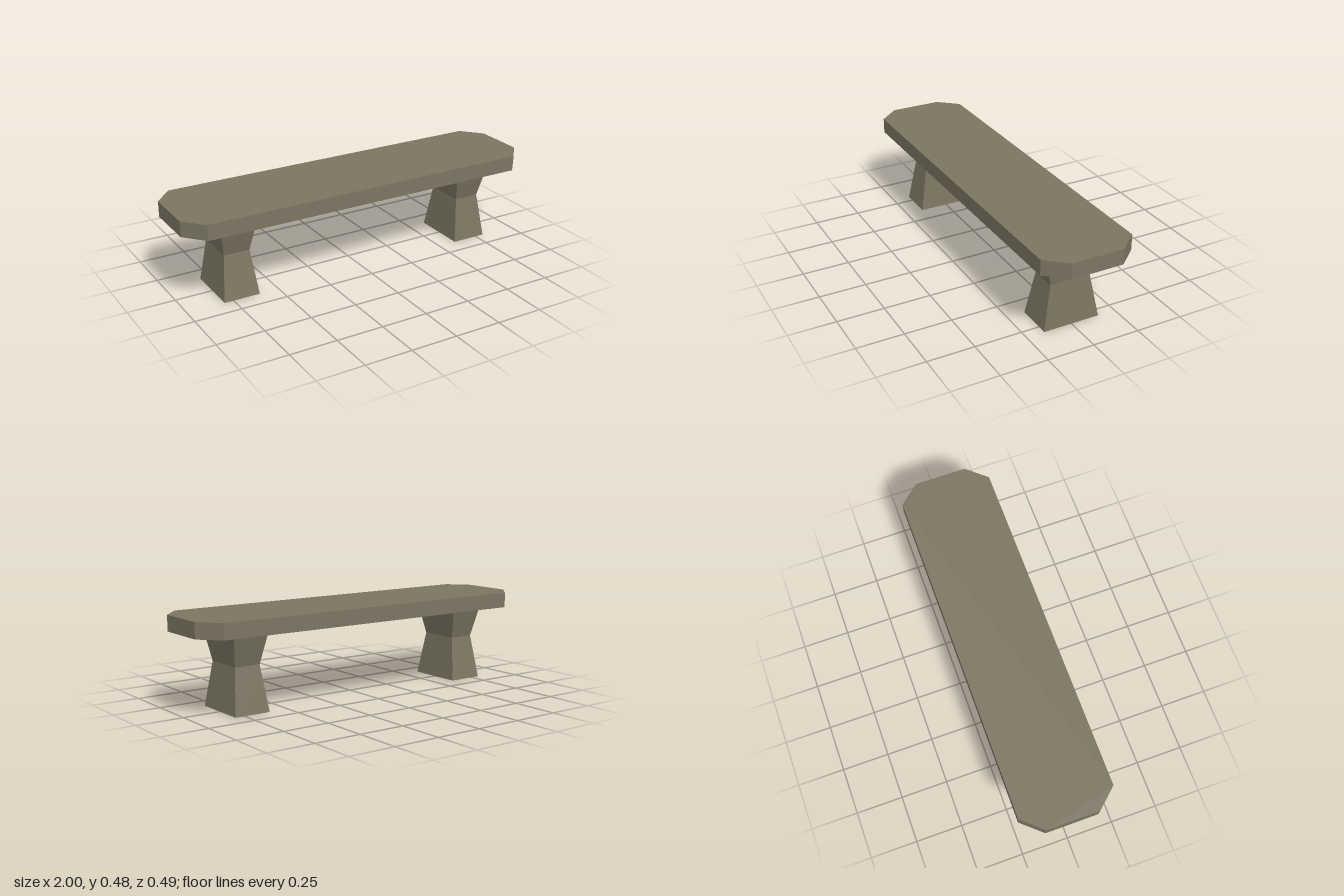
import * as THREE from 'three';

const SEAT_BOTTOM = 0.402, SEAT_TOP = 0.484;

// Slab with clipped corners
function seatGeometry() {
  const x = 1, z = 0.247, cx = 0.905, cz = 0.139;
  const outline = [[x, -cz], [x, cz], [cx, z], [-cx, z], [-x, cz], [-x, -cz], [-cx, -z], [cx, -z]];
  const shape = new THREE.Shape(outline.map(([a, b]) => new THREE.Vector2(a, b)));
  const geo = new THREE.ExtrudeGeometry(shape, { depth: SEAT_TOP - SEAT_BOTTOM, bevelEnabled: false });
  return geo.rotateX(-Math.PI / 2).translate(0, SEAT_BOTTOM, 0);
}

// Block pinched to a waist a little above mid-height
function legGeometry() {
  const geo = new THREE.BoxGeometry(0.194, SEAT_BOTTOM, 0.306, 1, 2, 1);
  const pos = geo.attributes.position;
  for (let i = 0; i < pos.count; i++) {
    if (Math.abs(pos.getY(i)) < 0.01) {
      pos.setXYZ(i, pos.getX(i) * 0.72, 0.236 - SEAT_BOTTOM / 2, pos.getZ(i) * 0.715);
    }
  }
  geo.translate(0, SEAT_BOTTOM / 2, 0);
  geo.computeVertexNormals();
  return geo;
}

export function createModel() {
  const group = new THREE.Group();
  group.name = 'bench';
  const material = new THREE.MeshStandardMaterial({ color: 0x7b7561, flatShading: true });

  const seat = new THREE.Mesh(seatGeometry(), material);
  seat.name = 'seat';
  group.add(seat);

  const legGeo = legGeometry();
  for (const side of [1, -1]) {
    const leg = new THREE.Mesh(legGeo, material);
    leg.name = side > 0 ? 'leftLeg' : 'rightLeg';
    leg.position.x = side * 0.703;
    group.add(leg);
  }
  return group;
}
